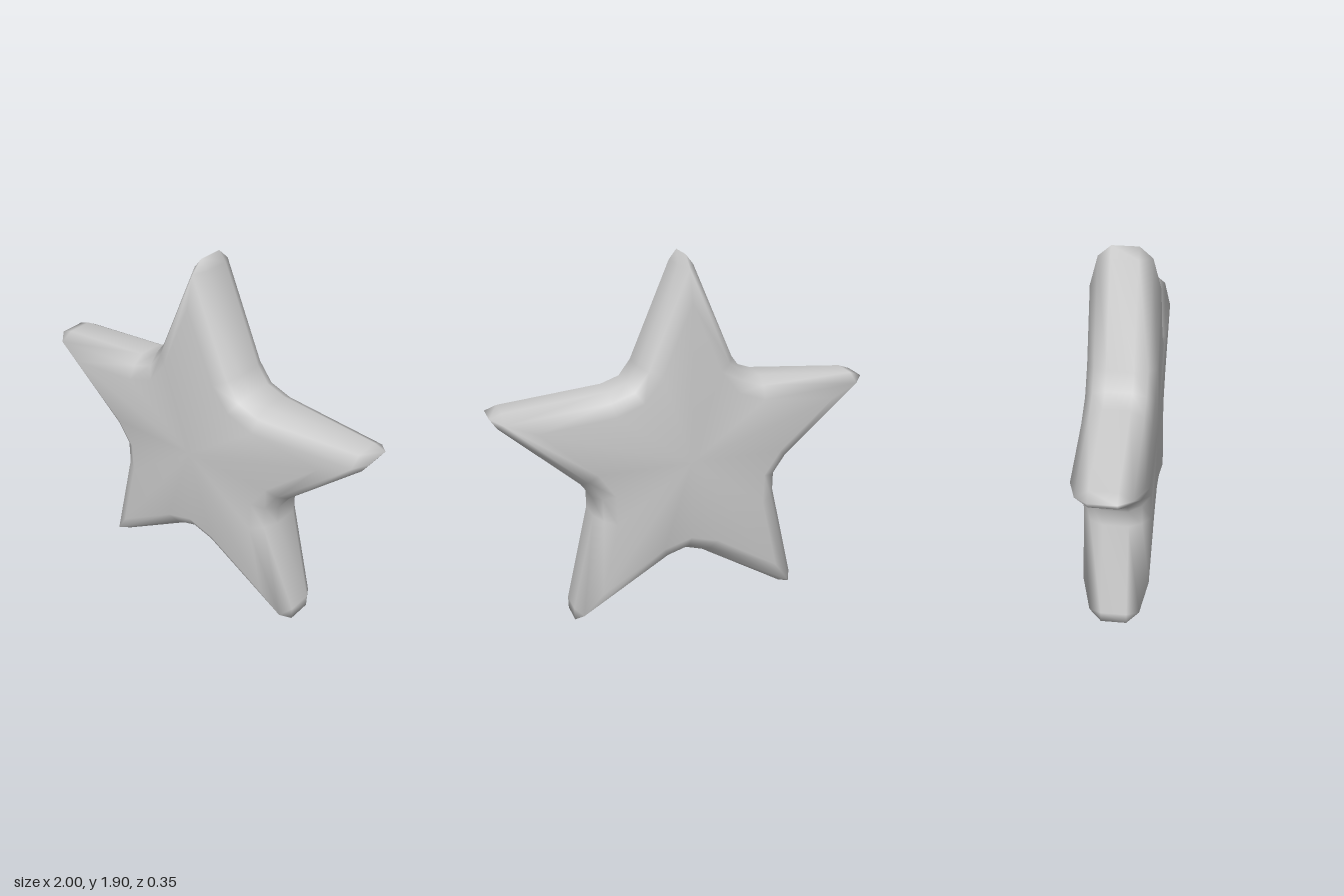
import * as THREE from 'three';
import { mergeVertices } from 'three/addons/utils/BufferGeometryUtils.js';

const CENTRE_Y = 0.85;
const HALF_DEPTH = 0.173;

// Outline of the star (counter-clockwise), moved inwards by `inset`
function starRing(inset, z) {
  const n = new THREE.Vector2(0.919, 0.394); // outward normal of an arm's side
  const side = new THREE.Vector2(0.25 - inset * n.x, 0.51 - inset * n.y);
  const apex = side.y + side.x * n.x / n.y;
  // the outermost outline has a blunted tip, inner ones a sharp tip
  const tip = new THREE.Vector2(0, inset ? apex : 1.0515);
  const shoulder = inset ? tip : new THREE.Vector2(0.04, 1.0);
  const valley = new THREE.Vector2(0, 0.53 - inset).rotateAround(new THREE.Vector2(), -Math.PI / 5);
  const mirror = p => new THREE.Vector2(-p.x, p.y);
  const arm = [valley, side, shoulder, tip, mirror(shoulder), mirror(side)];
  const ring = [];
  for (let k = 0; k < 5; k++) {
    for (const p of arm) {
      const q = p.clone().rotateAround(new THREE.Vector2(), k * Math.PI * 2 / 5);
      ring.push([q.x, q.y + CENTRE_Y, z]);
    }
  }
  return ring;
}

function starGeometry() {
  // rounded rim from front to back: [inset, z]
  const half = [[0.104, HALF_DEPTH], [0.04, 0.132], [0, 0.067]];
  const rim = [...half, ...half.map(([d, z]) => [d, -z]).reverse()];
  const rings = rim.map(([d, z]) => starRing(d, z));
  const count = rings[0].length;
  const positions = [...rings.flat(2), 0, CENTRE_Y, HALF_DEPTH, 0, CENTRE_Y, -HALF_DEPTH];
  const front = rings.length * count, back = front + 1;
  const index = [];
  for (let i = 0; i < count; i++) {
    const j = (i + 1) % count;
    for (let k = 0; k < rings.length - 1; k++) {
      const a = k * count, b = a + count;
      index.push(a + i, b + i, a + j, a + j, b + i, b + j);
    }
    const last = (rings.length - 1) * count;
    index.push(front, i, j, back, last + j, last + i);
  }
  let geometry = new THREE.BufferGeometry();
  geometry.setAttribute('position', new THREE.Float32BufferAttribute(positions, 3));
  geometry.setIndex(index);
  // join the points that meet at the sharp tips and drop collapsed faces
  geometry = mergeVertices(geometry, 1e-4);
  const kept = [], old = geometry.index.array;
  for (let i = 0; i < old.length; i += 3) {
    const [a, b, c] = [old[i], old[i + 1], old[i + 2]];
    if (a !== b && b !== c && c !== a) kept.push(a, b, c);
  }
  geometry.setIndex(kept);
  geometry.computeVertexNormals();
  return geometry;
}

export function createModel() {
  const grey = new THREE.MeshStandardMaterial({ color: 0xcccccc });
  grey.name = 'light grey';
  const star = new THREE.Mesh(starGeometry(), grey);
  star.name = 'star';
  const group = new THREE.Group();
  group.name = 'roundedStar';
  group.add(star);
  return group;
}
